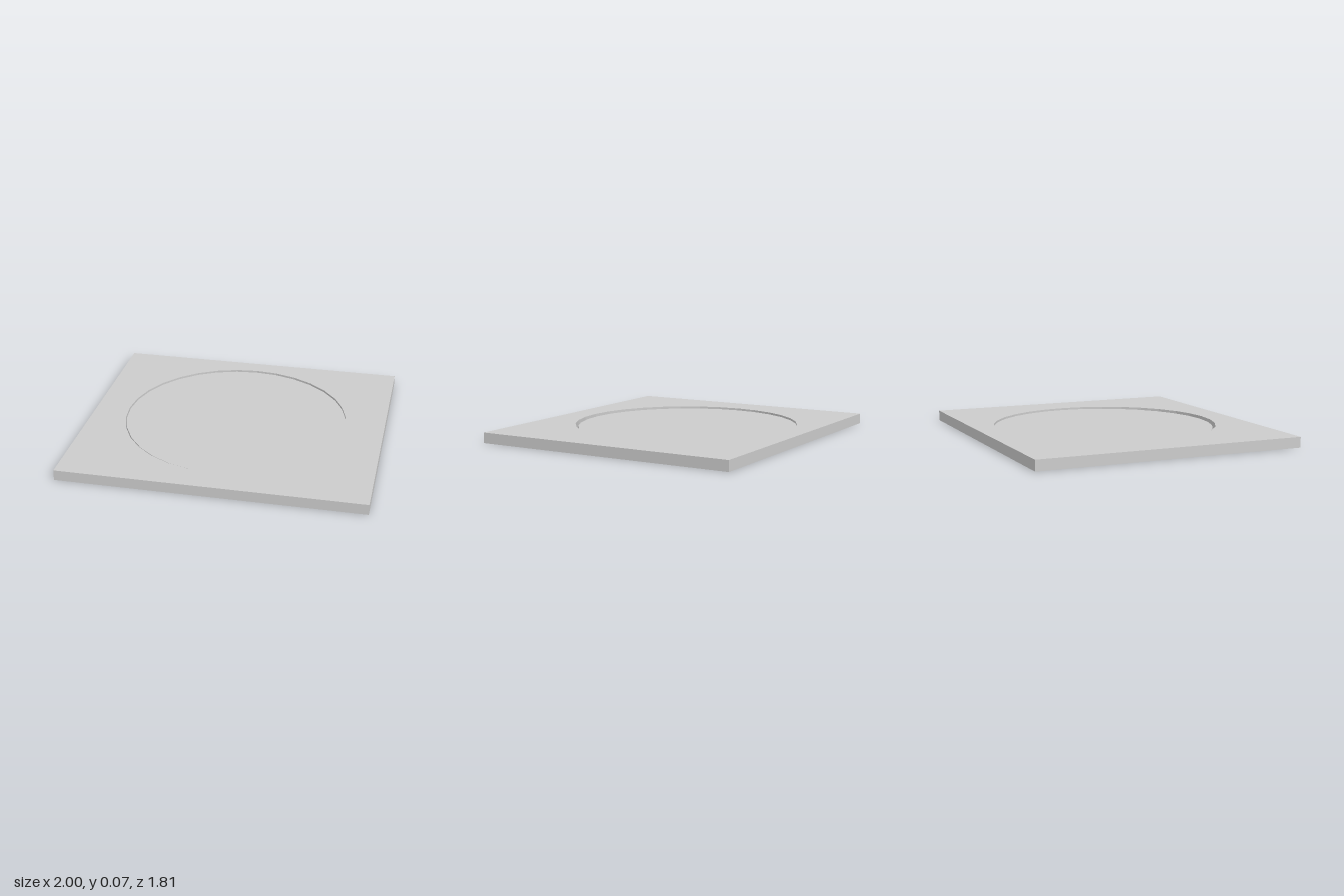
import * as THREE from 'three';

export function createModel() {
  const group = new THREE.Group();
  const material = new THREE.MeshStandardMaterial({ color: 0xcccccc, flatShading: true });
  const width = 2, depth = 1.81, height = 0.07;
  const radius = 0.757, sides = 32, cx = -0.015, cz = -0.028;

  // Rectangular plate with a 32-sided through hole
  const outline = new THREE.Shape([
    new THREE.Vector2(-width / 2, -depth / 2),
    new THREE.Vector2(width / 2, -depth / 2),
    new THREE.Vector2(width / 2, depth / 2),
    new THREE.Vector2(-width / 2, depth / 2),
  ]);
  const rim = [];
  for (let i = 0; i < sides; i++) {
    const a = (i / sides) * Math.PI * 2;
    rim.push(new THREE.Vector2(cx + radius * Math.cos(a), -cz + radius * Math.sin(a)));
  }
  outline.holes.push(new THREE.Path(rim));
  const plateGeometry = new THREE.ExtrudeGeometry(outline, { depth: height, bevelEnabled: false });
  plateGeometry.rotateX(-Math.PI / 2);
  const plate = new THREE.Mesh(plateGeometry, material);
  plate.name = 'plate';

  // Thinner disc sunk in the hole, set slightly back so a crescent gap stays open in front
  const disc = new THREE.Mesh(new THREE.CylinderGeometry(radius, radius, 0.042, sides), material);
  disc.name = 'disc';
  disc.position.set(cx, height / 2, cz - 0.022);

  group.add(plate, disc);
  return group;
}
